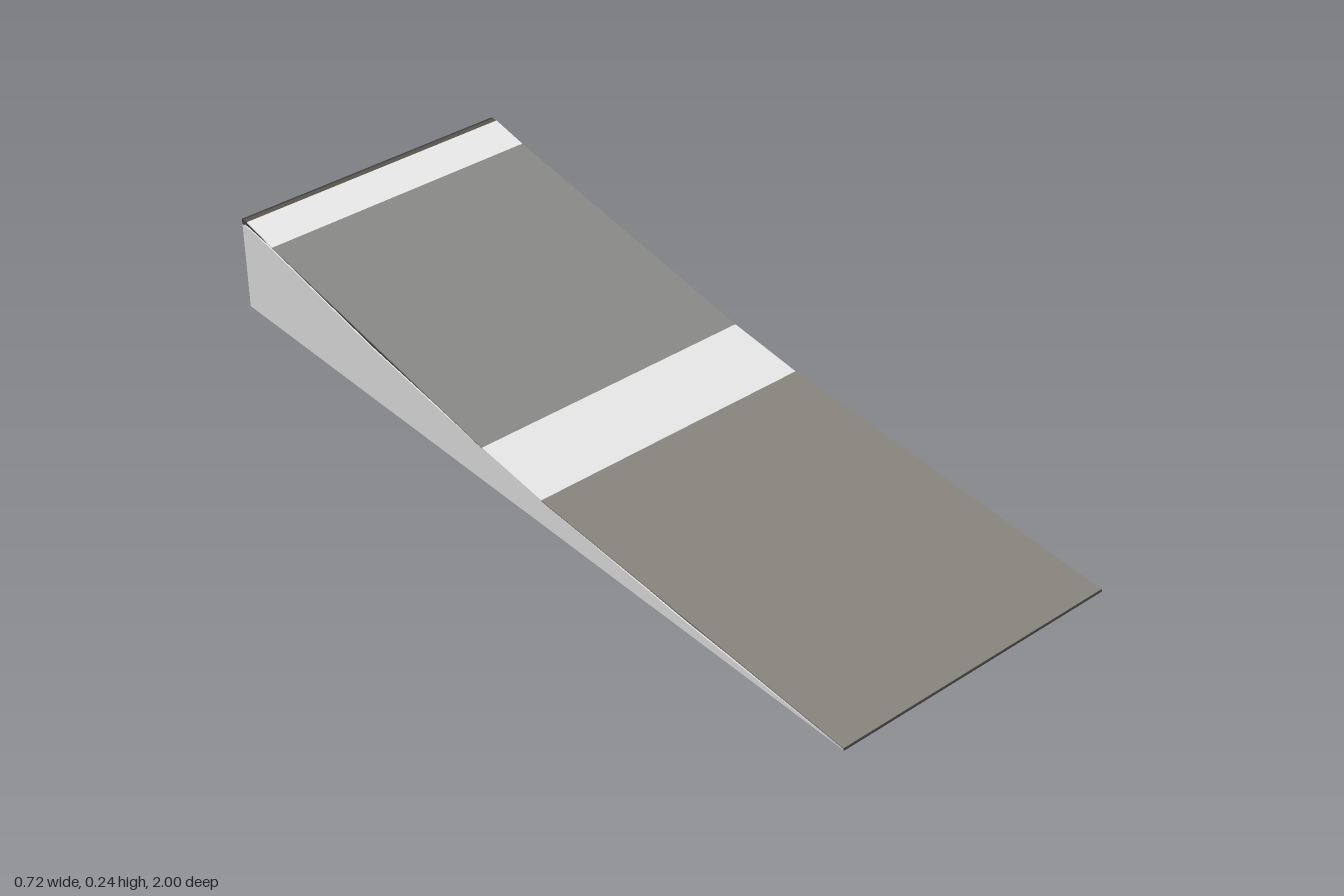
import * as THREE from 'three';

const material = (name, color) => {
  const m = new THREE.MeshStandardMaterial({ color });
  m.name = name;
  return m;
};

export function createModel() {
  const lightGrey = material('light grey', 0xe4e4e4);
  const deckGrey = material('deck grey', 0x868684);
  const deckBrown = material('warm deck grey', 0x87827c);
  const darkBrown = material('dark brown', 0x5a564e);
  const nearBlack = material('near black', 0x404040);

  const ramp = new THREE.Group();
  ramp.name = 'ramp';
  const half = 0.362, skin = 0.003, inner = half - skin;

  // Extrude a [z, y] outline across the width, from x0 to x1
  function slab(name, outline, x0, x1, mat) {
    const shape = new THREE.Shape(outline.map(([z, y]) => new THREE.Vector2(-z, y)));
    const geo = new THREE.ExtrudeGeometry(shape, { depth: x1 - x0, bevelEnabled: false });
    geo.rotateY(Math.PI / 2).translate(x0, 0, 0);
    const mesh = new THREE.Mesh(geo, mat);
    mesh.name = name;
    ramp.add(mesh);
  }

  // Box given by its limits on each axis
  function block(name, [x0, x1], [y0, y1], [z0, z1], mat) {
    const mesh = new THREE.Mesh(new THREE.BoxGeometry(x1 - x0, y1 - y0, z1 - z0), mat);
    mesh.position.set((x0 + x1) / 2, (y0 + y1) / 2, (z0 + z1) / 2);
    mesh.name = name;
    ramp.add(mesh);
  }

  // Riding surface, front to back
  const top = [[0.998, 0.005], [0.09, 0.063], [-0.11, 0.087], [-0.88, 0.219], [-0.98, 0.24]];
  const below = top.map(([z, y]) => [z, y - skin]);

  // Dark core under the skins
  slab('core', [[0.998, skin], ...top.slice(1).map(([z, y]) => [z, y - 0.002]), [-0.997, 0.237], [-0.997, skin]],
    -inner, inner, nearBlack);

  // Deck panels and the two pale bands, over the full width
  const deck = [['lowerDeck', deckBrown], ['middleBand', lightGrey], ['upperDeck', deckGrey], ['topBand', lightGrey]];
  deck.forEach(([name, mat], i) => {
    slab(name, [top[i], top[i + 1], below[i + 1], below[i]], -half, half, mat);
  });

  // Left side follows the deck; right side sags slightly below it
  slab('leftSide', [[0.998, 0], ...below, [-0.997, 0.237], [-0.997, 0]], inner, half, darkBrown);
  slab('rightSide', [[0.998, 0], [0.998, 0.002], [0.55, 0.025], [0.09, 0.06], [-0.11, 0.084],
    [-0.5, 0.14], [-0.88, 0.212], [-0.98, 0.226], [-0.997, 0.226], [-0.997, 0]], -half, -inner, lightGrey);

  // Front lip
  block('frontLip', [-half, half], [0, 0.005], [0.998, 1], nearBlack);

  // Back panel, the dark lip above it and the cap strip
  block('backPanel', [-half, half], [0, 0.226], [-1, -0.997], lightGrey);
  block('backLip', [-half, half], [0.226, 0.24], [-1, -0.994], nearBlack);
  block('capStrip', [-half, half], [0.237, 0.24], [-0.994, -0.98], darkBrown);

  // Underside with its seams
  block('underside', [-inner, inner], [0.002, skin], [-0.997, 0.998], deckBrown);
  for (const [z, w] of [[0.46, 0.006], [0.63, 0.009]]) {
    block('crossSeam', [-inner, inner], [0, 0.002], [z - w, z + w], nearBlack);
  }
  for (const x of [-0.353, -0.122, 0.122, 0.353]) {
    block('lengthSeam', [x - 0.006, x + 0.006], [0, 0.002], [-0.985, 0.454], nearBlack);
  }
  block('backSeam', [-inner, inner], [0, 0.002], [-0.997, -0.985], nearBlack);

  return ramp;
}
